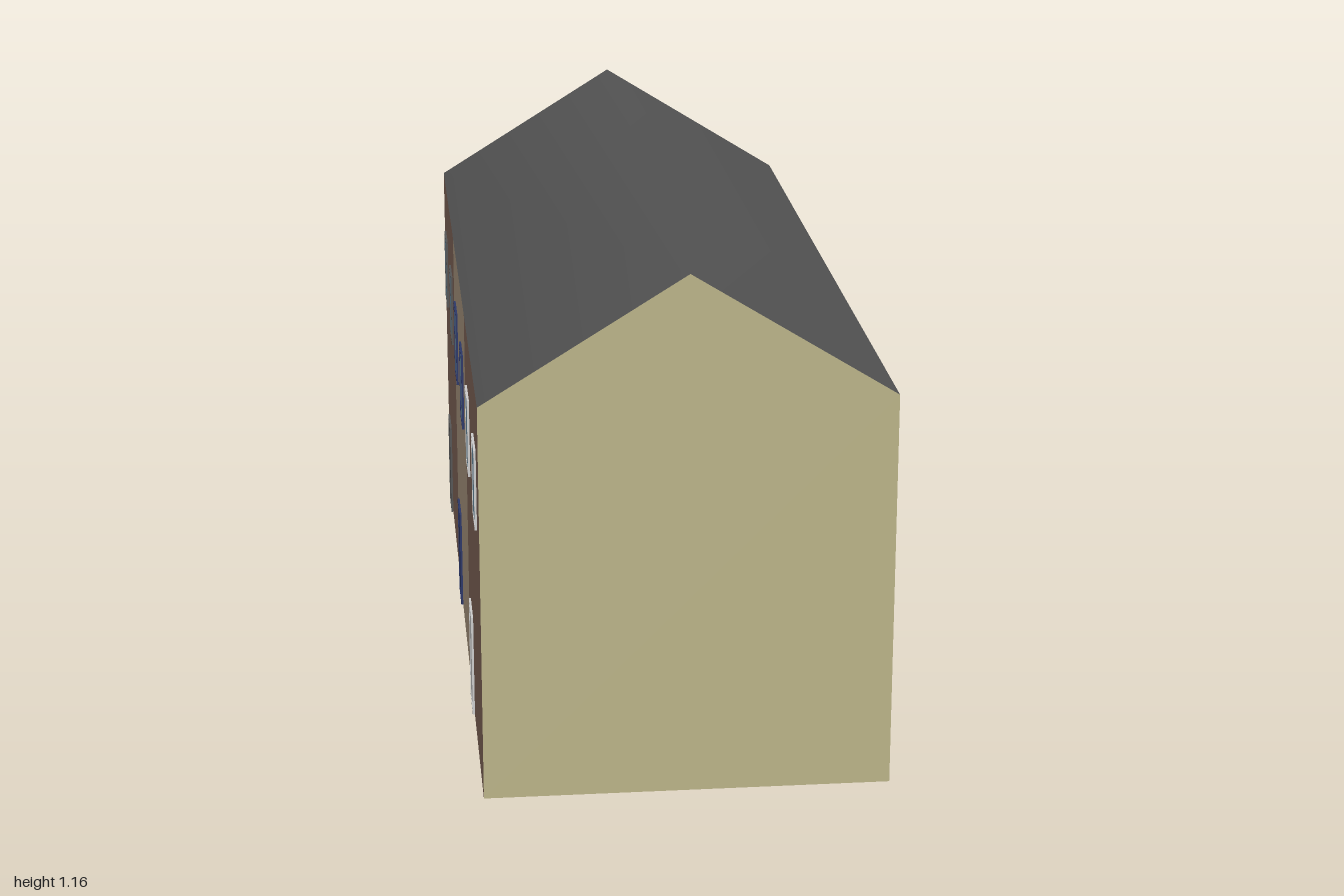
import * as THREE from 'three';

const HALF_W = 0.443, EAVES = 0.89, RIDGE = 1.165;
const mat = (color, side = THREE.FrontSide) => new THREE.MeshStandardMaterial({ color, side });
const BRICK = mat(0x876a5d), RENDER = mat(0xb09d84), GABLE = mat(0xbab388), ROOF = mat(0x525252, THREE.DoubleSide);
const FLOOR = mat(0x525252), GLASS = mat(0x6d94ab);
const WHITE = mat(0xbdbdbd), NAVY = mat(0x2c3768), GREY = mat(0x555555);

function add(parent, name, geometry, material, x = 0, y = 0, z = 0) {
  const mesh = new THREE.Mesh(geometry, material);
  mesh.name = name;
  mesh.position.set(x, y, z);
  parent.add(mesh);
  return mesh;
}

// Rectangular ring lying in the local xy plane, facing +z
function ring(w, h, border, depth) {
  const rect = (T, a, b) => new T([[-a, -b], [a, -b], [a, b], [-a, b]].map(p => new THREE.Vector2(...p)));
  const shape = rect(THREE.Shape, w / 2, h / 2);
  shape.holes.push(rect(THREE.Path, w / 2 - border, h / 2 - border));
  return new THREE.ExtrudeGeometry(shape, { depth, bevelEnabled: false });
}

function makeWindow(w, h, frameMat, depth) {
  const g = new THREE.Group();
  g.name = 'window';
  add(g, 'windowFrame', ring(w, h, 0.005, depth), frameMat);
  add(g, 'windowGlass', new THREE.BoxGeometry(w - 0.01, h - 0.01, depth * 0.7), GLASS, 0, 0, depth * 0.35);
  return g;
}

function makeDoor(w, h, doorMat, depth, hasPane) {
  const g = new THREE.Group();
  g.name = 'door';
  add(g, 'doorFrame', ring(w, h, 0.005, depth), doorMat);
  add(g, 'doorLeaf', new THREE.BoxGeometry(w - 0.01, h - 0.01, depth * 0.7), doorMat, 0, 0, depth * 0.35);
  if (hasPane) add(g, 'doorPane', new THREE.PlaneGeometry(0.04, 0.04), GREY, 0, 0.057, depth + 0.0004);
  return g;
}

// One long wall, built in its own frame: local z points outward, u runs along the wall
function makeFacade(name, side) {
  const facade = new THREE.Group();
  facade.name = name;
  facade.rotation.y = side * Math.PI / 2;
  facade.position.x = side * HALF_W;
  const street = side > 0, depth = street ? 0.003 : 0.005;
  const place = (part, z, y) => {
    part.position.set(-side * z, y, 0);
    facade.add(part);
  };
  const trims = [WHITE, NAVY, GREY];
  for (let i = 0; i < 3; i++) {
    const z = (1 - i) * 2 / 3, trim = trims[i];
    add(facade, 'houseWall', new THREE.PlaneGeometry(2 / 3, EAVES), i === 1 ? RENDER : BRICK, -side * z, EAVES / 2, 0);
    // upper windows
    for (const dz of [0.168, -0.168])
      place(makeWindow(street ? 0.108 : 0.115, street ? 0.165 : 0.18, trim, depth), z + dz, street ? 0.672 : 0.668);
    // doors, and the wide ground floor windows on the street side
    if (street) {
      place(makeDoor(0.125, 0.255, trim, depth, i < 2), z + 0.168, 0.1275);
      place(makeWindow(0.235, 0.13, trim, depth), z - 0.165, 0.225);
    } else {
      place(makeDoor(0.12, 0.24, trim, depth, false), z - 0.165, 0.12);
    }
  }
  return facade;
}

export function createModel() {
  const model = new THREE.Group();
  model.name = 'terraceHouses';
  model.add(makeFacade('streetFacade', 1), makeFacade('gardenFacade', -1));

  // gable ends
  const outline = [[-HALF_W, 0], [HALF_W, 0], [HALF_W, EAVES], [0, RIDGE], [-HALF_W, EAVES]];
  const gable = new THREE.ShapeGeometry(new THREE.Shape(outline.map(p => new THREE.Vector2(...p))));
  add(model, 'frontGable', gable, GABLE, 0, 0, 1);
  add(model, 'backGable', gable, GABLE, 0, 0, -1).rotation.y = Math.PI;

  // roof: two slopes sharing the ridge, shaded smoothly across it
  const roof = new THREE.BufferGeometry();
  const points = [];
  for (const [x, y] of [[HALF_W, EAVES], [0, RIDGE], [-HALF_W, EAVES]]) points.push(x, y, 1, x, y, -1);
  roof.setAttribute('position', new THREE.Float32BufferAttribute(points, 3));
  roof.setIndex([0, 1, 3, 0, 3, 2, 2, 3, 5, 2, 5, 4]);
  roof.computeVertexNormals();
  add(model, 'roof', roof, ROOF);

  // underside
  add(model, 'floor', new THREE.PlaneGeometry(2 * HALF_W, 2), FLOOR).rotation.x = Math.PI / 2;
  return model;
}
